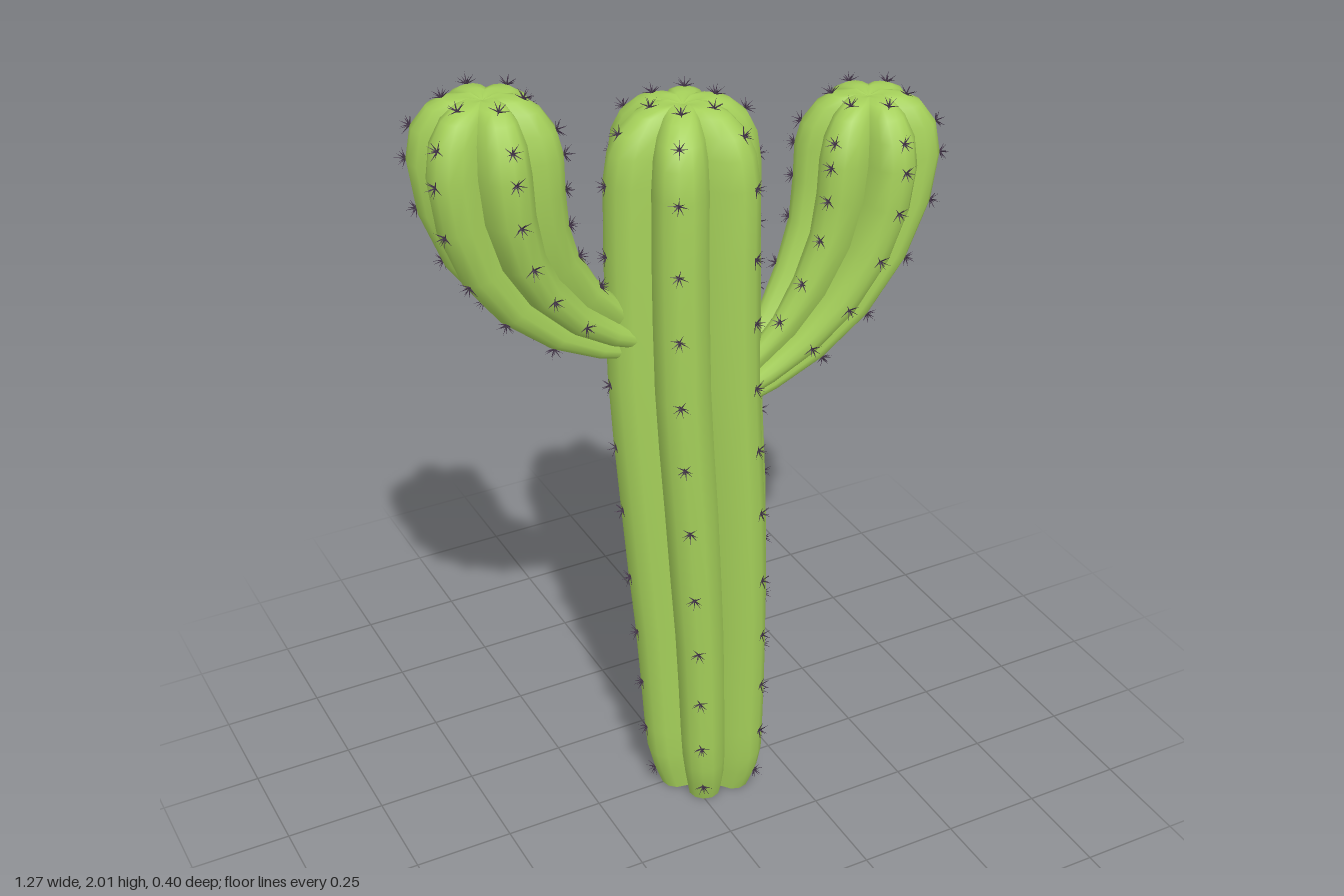
import * as THREE from 'three';
import { mergeGeometries } from 'three/addons/utils/BufferGeometryUtils.js';

const LOBES = 6;
const STEP = (Math.PI * 2) / LOBES;
// cross-section of one rib, valley to valley: [fraction of the step, radius factor]
const RIB = [[-0.5, 0.67], [-0.33, 0.87], [-0.17, 0.97], [0, 1], [0.17, 0.97], [0.33, 0.87], [0.5, 0.67]];

// Stations are [x, y, radius, spines?]
const TRUNK = [
  [0.06, 0, 0.125, 0], [0.06, 0.06, 0.147, 1], [0.058, 0.12, 0.16, 0], [0.055, 0.2, 0.165, 1],
  [0.051, 0.35, 0.171, 1], [0.045, 0.51, 0.177, 1], [0.035, 0.68, 0.184, 1], [0.023, 0.88, 0.189, 1],
  [0.01, 1.06, 0.191, 1], [0, 1.23, 0.192, 1], [-0.004, 1.4, 0.192, 1], [-0.006, 1.56, 0.191, 1],
  [-0.006, 1.73, 0.189, 1], [-0.006, 1.8, 0.178, 0], [-0.006, 1.845, 0.155, 1],
  [-0.006, 1.88, 0.115, 0], [-0.006, 1.893, 0.08, 1], [-0.006, 1.895, 0.045, 0], [-0.006, 1.885, 0, 0],
];
const LEFT_ARM = [
  [0.11, 1.14, 0.055, 0], [0.19, 1.185, 0.073, 0], [0.28, 1.255, 0.098, 1], [0.36, 1.35, 0.125, 1],
  [0.425, 1.47, 0.146, 1], [0.458, 1.59, 0.162, 1], [0.468, 1.69, 0.167, 1], [0.468, 1.755, 0.153, 1],
  [0.466, 1.8, 0.12, 0], [0.466, 1.82, 0.085, 1], [0.466, 1.825, 0.045, 0], [0.466, 1.815, 0, 0],
];
const RIGHT_ARM = [
  [-0.1, 1.335, 0.055, 0], [-0.2, 1.385, 0.077, 0], [-0.29, 1.45, 0.1, 1], [-0.375, 1.545, 0.125, 1],
  [-0.43, 1.645, 0.146, 1], [-0.46, 1.755, 0.162, 1], [-0.469, 1.855, 0.167, 1], [-0.469, 1.92, 0.153, 1],
  [-0.467, 1.965, 0.12, 0], [-0.467, 1.985, 0.085, 1], [-0.467, 1.99, 0.045, 0], [-0.467, 1.98, 0, 0],
];

const green = new THREE.MeshStandardMaterial({ color: 0xa5d05a });
const dark = new THREE.MeshStandardMaterial({ color: 0x4a3a50 });

// Turn stations into oriented rings; level rings stay horizontal
function makeFrames(stations, z, level) {
  const pts = stations.map(([x, y]) => new THREE.Vector3(x, y, z));
  return stations.map(([, , r, spines], i) => {
    const a = Math.max(i - 1, 0), b = Math.min(i + 1, pts.length - 1);
    const axis = pts[b].clone().sub(pts[a]);
    const ds = axis.y < 0 ? 0.001 : axis.length();
    if (level || axis.y <= 0 || r < 0.09 && i > 4) axis.set(0, 1, 0);
    axis.normalize();
    const side = axis.clone().cross(new THREE.Vector3(0, 0, 1));
    return { c: pts[i], axis, side, r, spines, ds, dr: stations[b][2] - stations[a][2] };
  });
}

function radial(f, angle) {
  return f.side.clone().multiplyScalar(Math.cos(angle)).add(new THREE.Vector3(0, 0, Math.sin(angle)));
}

// One rib as a strip: smooth inside, creased where it meets its neighbours
function ribStrip(frames, angle) {
  const pos = [], idx = [], n = RIB.length;
  frames.forEach((f, i) => RIB.forEach(([t, k], j) => {
    const p = radial(f, angle + t * STEP).multiplyScalar(f.r * k).add(f.c);
    pos.push(p.x, p.y, p.z);
    if (i < frames.length - 1 && j < n - 1) {
      const a = i * n + j;
      idx.push(a, a + n, a + 1, a + 1, a + n, a + n + 1);
    }
  }));
  const g = new THREE.BufferGeometry();
  g.setAttribute('position', new THREE.Float32BufferAttribute(pos, 3));
  g.setIndex(idx);
  g.computeVertexNormals();
  return g;
}

// A star of thin needles around +y
function makeSpineCluster() {
  const needles = [];
  for (let i = 0; i < 9; i++) {
    const g = new THREE.ConeGeometry(0.0022, 0.027, 3, 1, true);
    g.translate(0, 0.0125, 0);
    if (i > 0) g.rotateZ(i % 2 ? 1.25 : 0.85).rotateY((i * Math.PI) / 4);
    needles.push(g);
  }
  return mergeGeometries(needles);
}

function makeStem(name, stations, z, phase, level) {
  const group = new THREE.Group();
  group.name = name;
  const frames = makeFrames(stations, z, level);
  const base = [{ ...frames[0], r: 0 }, frames[0]];
  const cluster = makeSpineCluster();
  const skin = [], spines = [];
  const up = new THREE.Vector3(0, 1, 0);
  for (let k = 0; k < LOBES; k++) {
    const angle = (k + phase) * STEP;
    skin.push(ribStrip(frames, angle), ribStrip(base, angle));
    frames.filter((f) => f.spines).forEach((f, i) => {
      const out = radial(f, angle);
      const p = out.clone().multiplyScalar(f.r).add(f.c);
      const dir = out.multiplyScalar(f.ds).addScaledVector(f.axis, -f.dr).normalize();
      const turn = new THREE.Quaternion().setFromUnitVectors(up, dir);
      turn.multiply(new THREE.Quaternion().setFromAxisAngle(up, i * 1.7 + k));
      spines.push(cluster.clone().applyQuaternion(turn).translate(p.x, p.y, p.z));
    });
  }
  const body = new THREE.Mesh(mergeGeometries(skin), green);
  body.name = name + 'Ribs';
  const needles = new THREE.Mesh(mergeGeometries(spines), dark);
  needles.name = name + 'Spines';
  group.add(body, needles);
  return group;
}

export function createModel() {
  const model = new THREE.Group();
  model.name = 'cactus';
  model.add(
    makeStem('trunk', TRUNK, 0, 0, true),
    makeStem('leftArm', LEFT_ARM, 0.005, 0.5, false),
    makeStem('rightArm', RIGHT_ARM, -0.008, 0.5, false),
  );
  return model;
}
